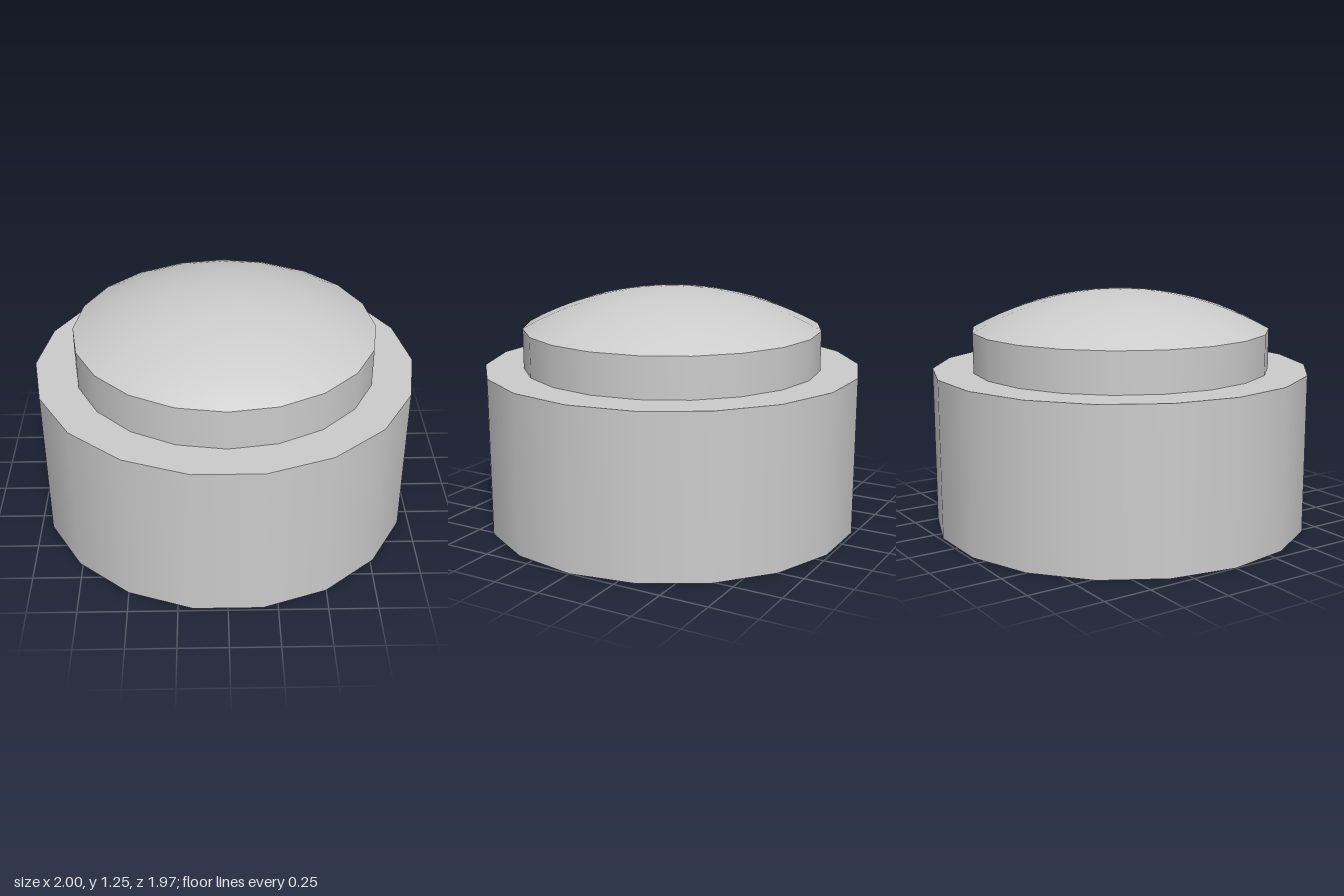
import * as THREE from 'three';

export function createModel() {
  const group = new THREE.Group();
  const material = new THREE.MeshStandardMaterial({ color: 0xcccccc });
  const add = (name, geometry, y = 0) => {
    const mesh = new THREE.Mesh(geometry, material);
    mesh.name = name;
    mesh.position.y = y;
    group.add(mesh);
  };

  const baseTop = 0.835, rimY = 1.045, topY = 1.25, radius = 0.79;

  // Wide 18-sided base with a corner on the x axis
  add('base', new THREE.CylinderGeometry(1, 1, baseTop, 18, 1, false, Math.PI / 2), baseTop / 2);

  // Narrower 20-sided collar standing on the base
  const collarHeight = rimY - baseTop;
  add('collar', new THREE.CylinderGeometry(radius, radius, collarHeight, 20, 1, true), baseTop + collarHeight / 2);

  // Shallow spherical cap, from rim to apex
  const rise = topY - rimY;
  const sphereRadius = (radius ** 2 + rise ** 2) / (2 * rise);
  const halfAngle = Math.asin(radius / sphereRadius);
  const rows = 10;
  const profile = [];
  for (let i = 0; i <= rows; i++) {
    const a = halfAngle * (1 - i / rows);
    profile.push(new THREE.Vector2(sphereRadius * Math.sin(a), topY - sphereRadius * (1 - Math.cos(a))));
  }
  add('dome', new THREE.LatheGeometry(profile, 20));

  return group;
}
